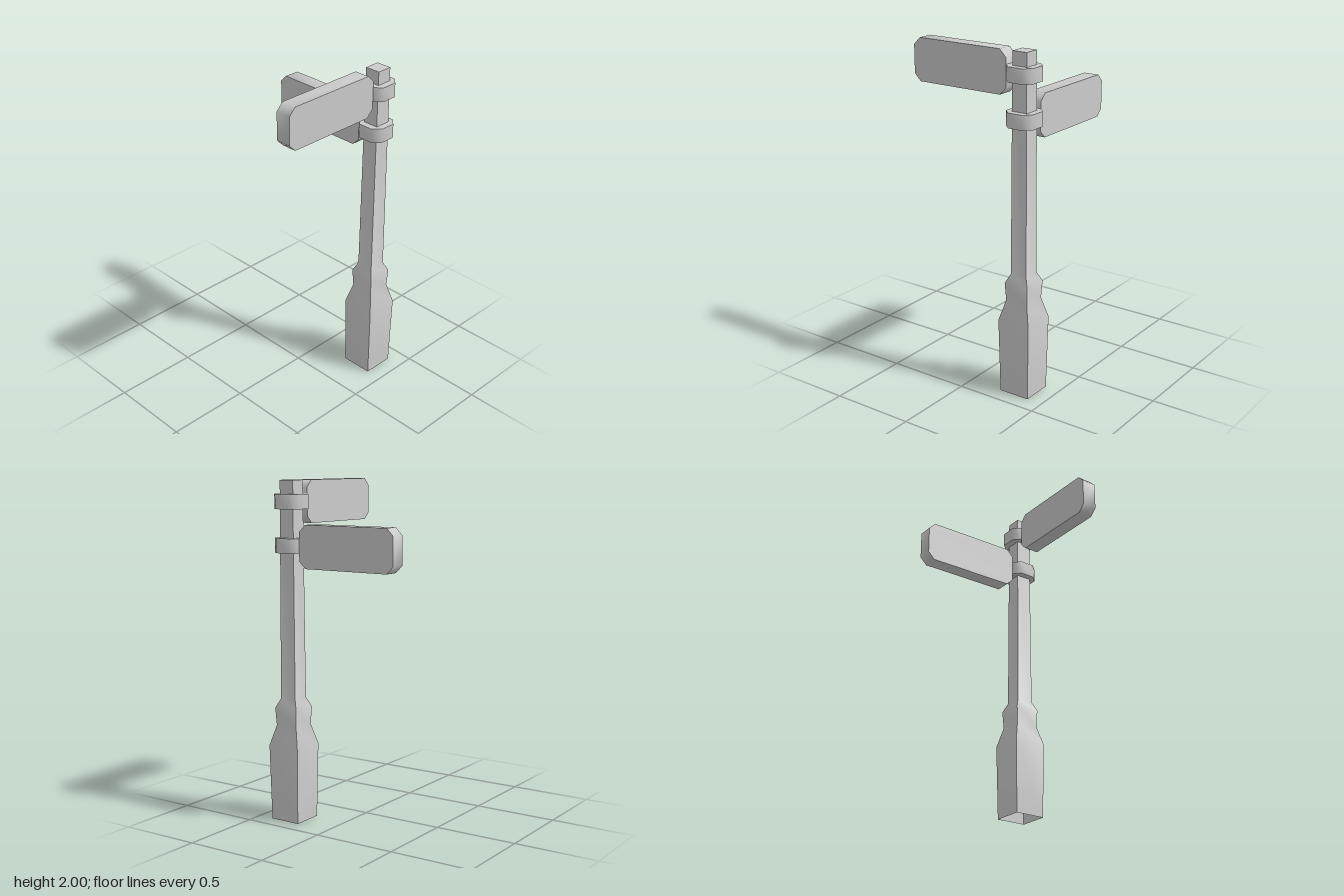
import * as THREE from 'three';
import { toCreasedNormals } from 'three/addons/utils/BufferGeometryUtils.js';

const CREASE = 1.0;
const POST_X = 0.308, POST_Z = -0.309;
const material = new THREE.MeshStandardMaterial({ color: 0xcccccc });
const openMaterial = new THREE.MeshStandardMaterial({ color: 0xcccccc, side: THREE.DoubleSide });

// Rectangular slab with cut corners, centred on the origin, thick along z
function chamferedSlab(width, height, depth, cut) {
  const w = width / 2, h = height / 2;
  const shape = new THREE.Shape([
    [-w + cut, -h], [w - cut, -h], [w, -h + cut], [w, h - cut],
    [w - cut, h], [-w + cut, h], [-w, h - cut], [-w, -h + cut],
  ].map(([x, y]) => new THREE.Vector2(x, y)));
  const geometry = new THREE.ExtrudeGeometry(shape, { depth, bevelEnabled: false });
  geometry.translate(0, 0, -depth / 2);
  return toCreasedNormals(geometry, CREASE);
}

function addMesh(parent, name, geometry, mat = material) {
  const mesh = new THREE.Mesh(geometry, mat);
  mesh.name = name;
  parent.add(mesh);
  return mesh;
}

export function createModel() {
  const model = new THREE.Group();
  model.name = 'signpost';

  // Square post with a flared pedestal, open underneath: [half width, y]
  const profile = [
    [0.095, 0], [0.103, 0.45], [0.071, 0.57], [0.077, 0.675],
    [0.052, 0.73], [0.0465, 2], [0, 2],
  ].map(([half, y]) => new THREE.Vector2(half * Math.SQRT2, y));
  const postGeometry = new THREE.LatheGeometry(profile, 4, Math.PI / 4);
  const post = addMesh(model, 'post', toCreasedNormals(postGeometry, CREASE), openMaterial);
  post.position.set(POST_X, 0, POST_Z);

  // Octagonal collars, one per sign
  const collarGeometry = chamferedSlab(0.176, 0.176, 0.085, 0.042);
  collarGeometry.rotateX(-Math.PI / 2);
  for (const [name, y] of [['lowerCollar', 1.628], ['upperCollar', 1.878]]) {
    addMesh(model, name, collarGeometry).position.set(POST_X, y, POST_Z);
  }

  // Sign boards: the lower points to -x, the upper to +z
  const boardGeometry = chamferedSlab(0.634, 0.25, 0.093, 0.042);
  const reach = 0.088 + 0.634 / 2;
  addMesh(model, 'lowerSign', boardGeometry).position.set(POST_X - reach, 1.625, POST_Z);
  const upperSign = addMesh(model, 'upperSign', boardGeometry);
  upperSign.position.set(POST_X, 1.875, POST_Z + reach);
  upperSign.rotation.y = Math.PI / 2;

  return model;
}
